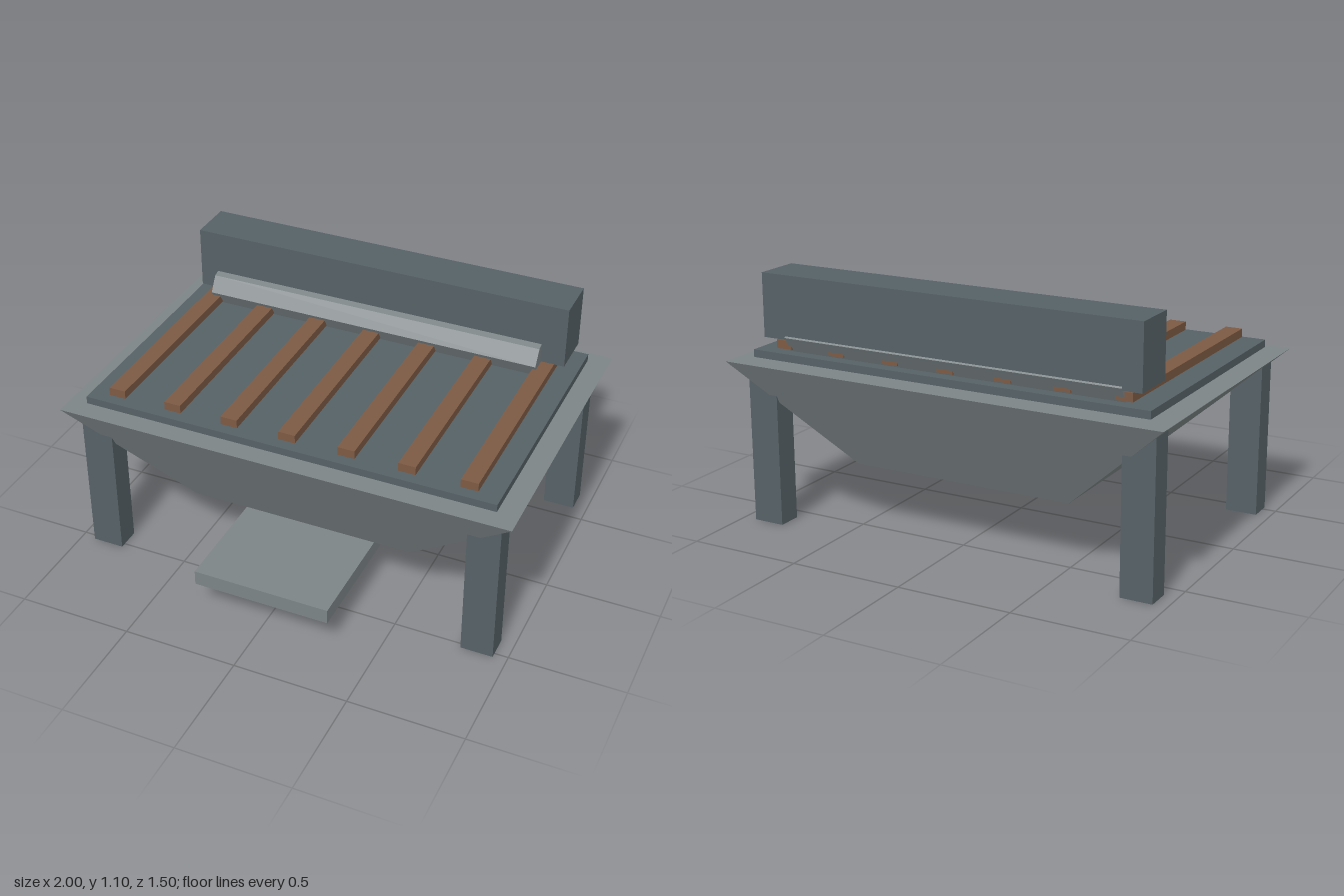
import * as THREE from 'three';

const mat = (color) => new THREE.MeshStandardMaterial({ color, flatShading: true });

export function createModel() {
  const model = new THREE.Group();
  const slate = mat(0x566166);
  const grey = mat(0x7c8486);
  const wood = mat(0x7d5a44);

  const add = (name, geometry, material) => {
    const mesh = new THREE.Mesh(geometry, material);
    mesh.name = name;
    model.add(mesh);
    return mesh;
  };
  // Box given by its lower and upper limits on each axis
  const box = (name, material, [x0, x1], [y0, y1], [z0, z1]) =>
    add(name, new THREE.BoxGeometry(x1 - x0, y1 - y0, z1 - z0), material)
      .position.set((x0 + x1) / 2, (y0 + y1) / 2, (z0 + z1) / 2);

  // Hopper: a box whose lower face is drawn in
  const hopper = new THREE.BoxGeometry(2, 0.44, 1.34);
  const p = hopper.attributes.position;
  for (let i = 0; i < p.count; i++) {
    if (p.getY(i) < 0) p.setXYZ(i, p.getX(i) * 0.5, p.getY(i), p.getZ(i) * 0.655);
  }
  hopper.computeVertexNormals();
  add('hopper', hopper, grey).position.set(0, 0.5, -0.08);

  // Four legs
  for (const x of [[-0.94, -0.8], [0.8, 0.94]]) {
    box('frontLeg', slate, x, [0, 0.667], [0.417, 0.523]);
    box('backLeg', slate, x, [0, 0.667], [-0.675, -0.569]);
  }

  // Deck and the slats above it
  box('deck', slate, [-0.912, 0.912], [0.732, 0.765], [-0.67, 0.515]);
  for (let i = -3; i <= 3; i++) {
    const x = i * 0.261;
    box('slat', wood, [x - 0.037, x + 0.037], [0.774, 0.811], [-0.63, 0.475]);
  }

  // Rear beam over an eight-sided, flattened roller
  box('rearBeam', slate, [-0.868, 0.868], [0.82, 1.096], [-0.65, -0.446]);
  const roller = new THREE.CylinderGeometry(0.139, 0.139, 1.547, 8);
  roller.rotateZ(Math.PI / 2).scale(1, 0.69, 1);
  add('roller', roller, grey).position.set(-0.011, 0.829, -0.515);

  // Discharge tray under the hopper
  box('tray', grey, [-0.303, 0.303], [0.134, 0.2], [0.125, 0.75]);

  return model;
}
